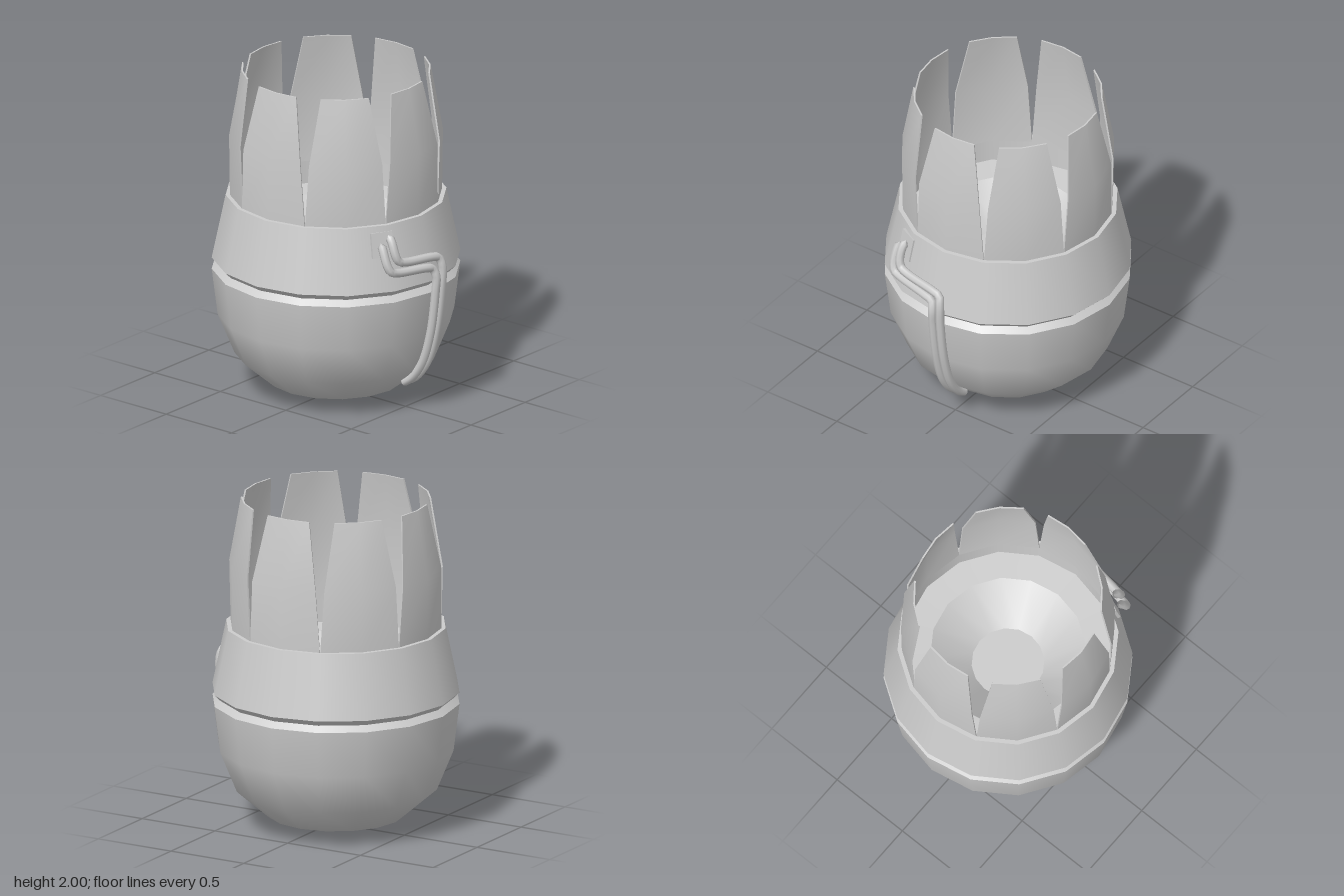
import * as THREE from 'three';

const material = new THREE.MeshStandardMaterial({ color: 0xcccccc, side: THREE.DoubleSide });
const V = (x, y, z) => new THREE.Vector3(x, y, z);

function addMesh(parent, name, geometry) {
  const mesh = new THREE.Mesh(geometry, material);
  mesh.name = name;
  parent.add(mesh);
  return mesh;
}

// Sixteen-sided ring or bowl from a [radius, height] profile
function turned(profile) {
  return new THREE.LatheGeometry(profile.map(([r, y]) => new THREE.Vector2(r, y)), 16);
}

// Thin petal: a box bent round the axis, tapering towards the top
function petalGeometry() {
  const rows = [[1.2, 0.627, 0.24], [1.6, 0.632, 0.217], [2, 0.56, 0.143]]; // y, radius, half width
  const geometry = new THREE.BoxGeometry(2, 2, 1, 2, 2, 1);
  const p = geometry.attributes.position;
  for (let i = 0; i < p.count; i++) {
    const [y, r, w] = rows[Math.round(p.getY(i)) + 1];
    const angle = p.getX(i) * Math.asin(w / r);
    const radius = r + (p.getZ(i) - 0.5) * 0.01;
    p.setXYZ(i, radius * Math.sin(angle), y, radius * Math.cos(angle));
  }
  geometry.computeVertexNormals();
  return geometry;
}

// Bent wire with both ends drawn to a point
function wireGeometry(points) {
  const segments = 56, sides = 8;
  const curve = new THREE.CatmullRomCurve3(points, false, 'centripetal');
  const geometry = new THREE.TubeGeometry(curve, segments, 0.026, sides);
  const p = geometry.attributes.position;
  for (const [ring, t] of [[0, 0], [segments, 1]]) {
    const c = curve.getPointAt(t);
    for (let j = 0; j <= sides; j++) p.setXYZ(ring * (sides + 1) + j, c.x, c.y, c.z);
  }
  return geometry;
}

export function createModel() {
  const model = new THREE.Group();
  model.name = 'petalledCup';

  const body = new THREE.Group();
  body.name = 'body';
  body.position.z = -0.03;
  model.add(body);

  // Bowl, groove and tapered collar
  addMesh(body, 'bowl', turned([[0, 0], [0.41, 0.07], [0.6, 0.235], [0.7, 0.48], [0.735, 0.765]]));
  addMesh(body, 'grooveLower', turned([[0.735, 0.765], [0.7, 0.8]]));
  addMesh(body, 'grooveUpper', turned([[0.7, 0.8], [0.735, 0.835]]));
  addMesh(body, 'collar', turned([[0.735, 0.835], [0.653, 1.225]]));
  addMesh(body, 'collarRim', turned([[0.653, 1.225], [0.625, 1.225]]));

  // Hollow inside the collar
  addMesh(body, 'innerWall', turned([[0.625, 1.225], [0.62, 1.06]]));
  addMesh(body, 'innerLedge', turned([[0.62, 1.06], [0.46, 1.05]]));
  addMesh(body, 'innerFunnel', turned([[0.46, 1.05], [0.215, 0.85]]));
  addMesh(body, 'innerFloor', turned([[0.215, 0.85], [0, 0.85]]));

  // Ring of eight petals
  const petal = petalGeometry();
  for (let i = 0; i < 8; i++) {
    addMesh(body, 'petal', petal).rotation.y = i * Math.PI / 4;
  }

  // Plate the wires hook into
  const plate = addMesh(model, 'wirePlate', new THREE.BoxGeometry(0.135, 0.15, 0.02));
  plate.position.set(-0.3, 1.115, 0.568);
  plate.rotation.set(-0.2, -0.47, 0, 'YXZ');

  // Two parallel wires: s shifts the path up and to the left side of the model
  for (const s of [0, 0.055]) {
    addMesh(model, 'wire', wireGeometry([
      V(-0.335 + s, 1.14 + s * 0.7, 0.59 + s * 0.2),
      V(-0.343 + s, 1.09 + s, 0.615 + s * 0.3),
      V(-0.343 + s, 1.01 + s, 0.645 + s * 0.3),
      V(-0.325 + s, 0.97 + s, 0.66 + s * 0.2),
      V(-0.28 + s, 0.955 + s, 0.67 + s * 0.2),
      V(-0.06 + s, 0.935 + s, 0.715),
      V(-0.015 + s, 0.92 + s, 0.72),
      V(s, 0.87 + s, 0.735),
      V(s, 0.78, 0.73),
      V(s, 0.5, 0.69),
      V(s, 0.3, 0.625),
      V(s, 0.19, 0.545),
      V(s, 0.14, 0.47),
    ]));
  }
  return model;
}
